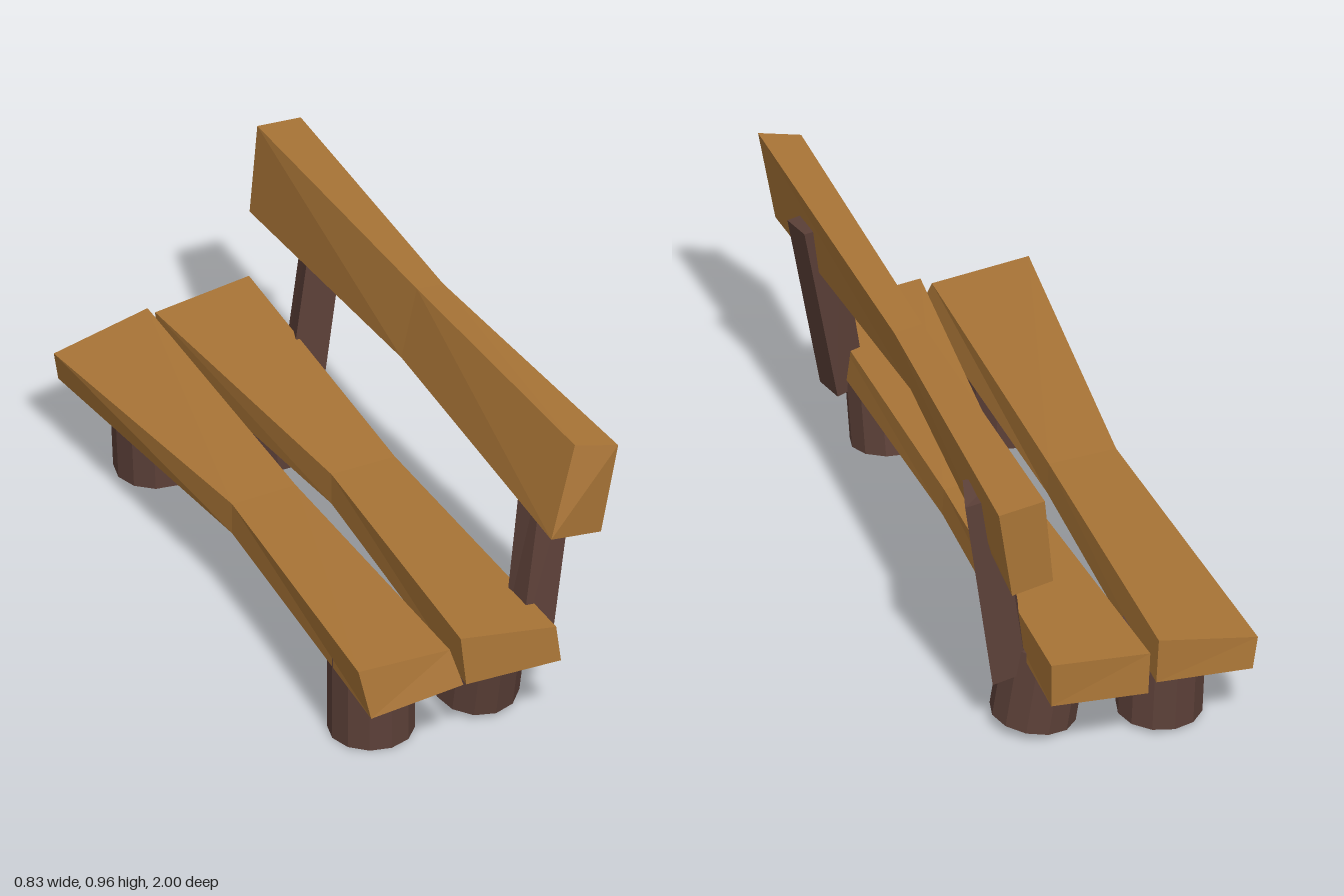
import * as THREE from 'three';

const wood = new THREE.MeshStandardMaterial({ color: 0xa87436, flatShading: true });
const darkWood = new THREE.MeshStandardMaterial({ color: 0x5c4038, flatShading: true });

// Joins four-cornered sections, each listed clockwise as seen from the first end
function beam(name, material, sections) {
  const pos = [];
  const quad = (a, b, c, d) => pos.push(...a, ...b, ...c, ...a, ...c, ...d);
  for (let s = 0; s < sections.length - 1; s++) {
    const p = sections[s], q = sections[s + 1];
    for (let i = 0; i < 4; i++) {
      const j = (i + 1) % 4;
      quad(p[i], p[j], q[j], q[i]);
    }
  }
  quad(...[...sections[0]].reverse());
  quad(...sections[sections.length - 1]);
  const geometry = new THREE.BufferGeometry();
  geometry.setAttribute('position', new THREE.Float32BufferAttribute(pos, 3));
  geometry.computeVertexNormals();
  const mesh = new THREE.Mesh(geometry, material);
  mesh.name = name;
  return mesh;
}

// Round log between two centre points
function log(name, from, to) {
  const a = new THREE.Vector3(...from), b = new THREE.Vector3(...to);
  const axis = b.clone().sub(a);
  const mesh = new THREE.Mesh(new THREE.CylinderGeometry(0.125, 0.125, axis.length(), 12), darkWood);
  mesh.position.copy(a).add(b).multiplyScalar(0.5);
  mesh.quaternion.setFromUnitVectors(new THREE.Vector3(0, 1, 0), axis.normalize());
  mesh.name = name;
  return mesh;
}

export function createModel() {
  const bench = new THREE.Group();
  bench.name = 'bench';

  // Seat planks, pinched in the middle; corners run top left, top right, bottom right, bottom left
  bench.add(beam('outerSeatPlank', wood, [
    [[-0.42, 0.385, 0.91], [-0.125, 0.367, 0.91], [-0.1, 0.26, 0.945], [-0.395, 0.235, 0.94]],
    [[-0.32, 0.37, -0.03], [-0.115, 0.37, -0.03], [-0.11, 0.27, -0.03], [-0.32, 0.27, -0.03]],
    [[-0.38, 0.338, -0.985], [-0.08, 0.4, -0.98], [-0.07, 0.26, -0.985], [-0.36, 0.24, -0.995]],
  ]));
  bench.add(beam('innerSeatPlank', wood, [
    [[-0.09, 0.393, 0.91], [0.205, 0.355, 0.935], [0.215, 0.243, 0.945], [-0.08, 0.243, 0.925]],
    [[0, 0.37, -0.03], [0.205, 0.365, -0.03], [0.21, 0.28, -0.03], [0, 0.27, -0.03]],
    [[-0.05, 0.37, -0.99], [0.25, 0.402, -0.985], [0.25, 0.26, -0.985], [-0.04, 0.24, -1]],
  ]));

  // Backrest plank
  bench.add(beam('backrestPlank', wood, [
    [[0.26, 0.965, 0.945], [0.37, 0.963, 1], [0.325, 0.67, 0.98], [0.17, 0.685, 0.97]],
    [[0.26, 0.94, 0], [0.345, 0.93, 0], [0.295, 0.72, 0], [0.21, 0.72, 0]],
    [[0.25, 0.945, -0.935], [0.39, 0.93, -0.935], [0.35, 0.64, -0.935], [0.225, 0.66, -0.935]],
  ]));

  // Leaning posts, from top to bottom
  bench.add(beam('frontPost', darkWood, [
    [[0.26, 0.85, 0.65], [0.365, 0.842, 0.65], [0.38, 0.832, 0.745], [0.275, 0.845, 0.75]],
    [[0.15, 0.22, 0.72], [0.24, 0.2, 0.71], [0.255, 0.19, 0.81], [0.15, 0.22, 0.82]],
  ]));
  bench.add(beam('rearPost', darkWood, [
    [[0.315, 0.85, -0.745], [0.415, 0.83, -0.735], [0.38, 0.845, -0.625], [0.285, 0.85, -0.65]],
    [[0.235, 0.22, -0.755], [0.335, 0.195, -0.745], [0.3, 0.205, -0.635], [0.2, 0.225, -0.655]],
  ]));

  // Stubby log legs
  bench.add(log('frontOuterLeg', [-0.25, 0.003, 0.67], [-0.25, 0.29, 0.67]));
  bench.add(log('frontInnerLeg', [0.085, 0.04, 0.675], [0.085, 0.29, 0.725]));
  bench.add(log('rearOuterLeg', [-0.16, 0.015, -0.775], [-0.172, 0.29, -0.775]));
  bench.add(log('rearInnerLeg', [0.19, 0.026, -0.685], [0.15, 0.28, -0.685]));

  return bench;
}
